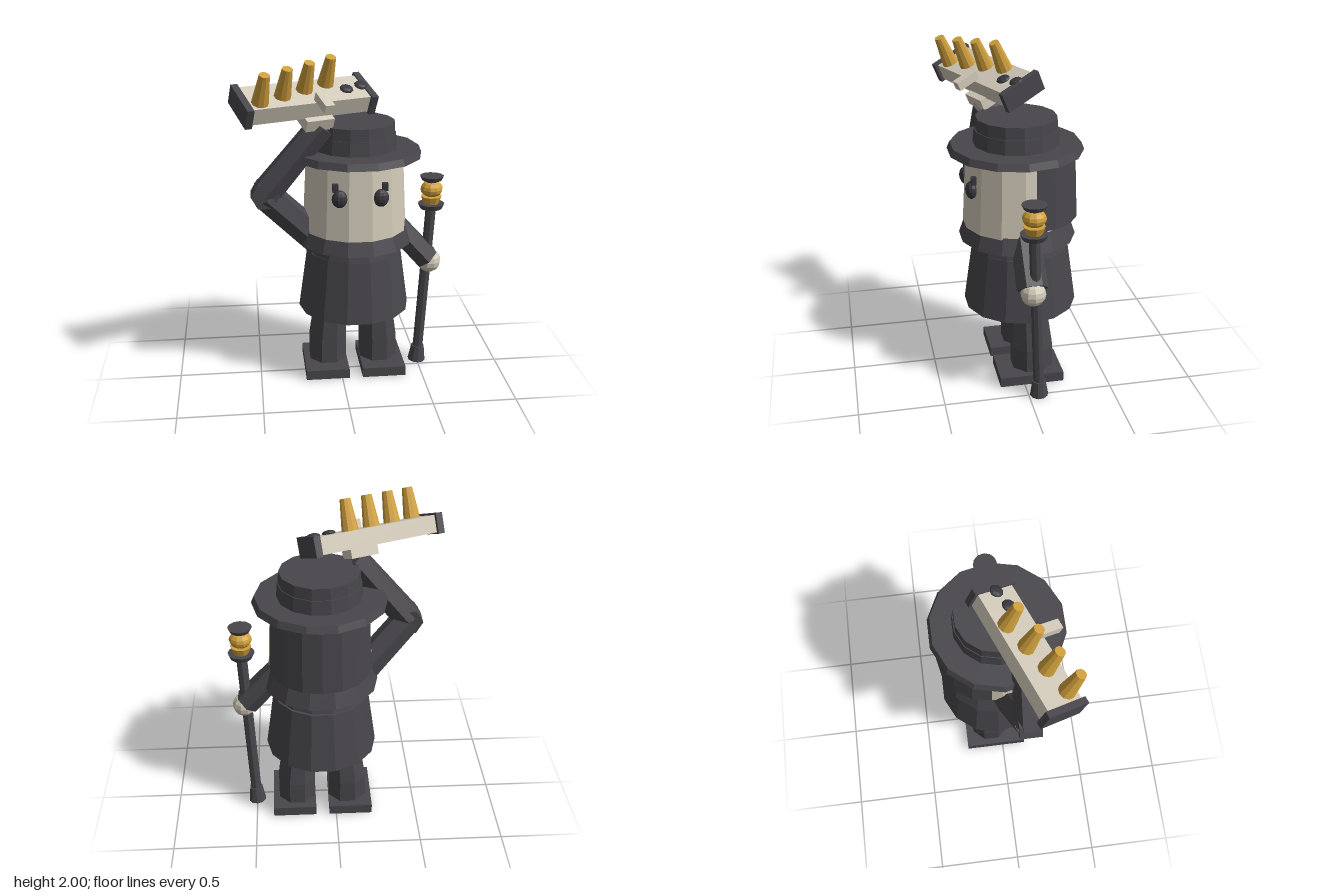
import * as THREE from 'three';

const mat = (name, color) => {
  const m = new THREE.MeshStandardMaterial({ color, flatShading: true });
  m.name = name;
  return m;
};

export function createModel() {
  const model = new THREE.Group();
  const charcoal = mat('charcoal cloth', 0x48464b);
  const black = mat('dark grey', 0x38373d);
  const cream = mat('cream', 0xd3cbba);
  const gold = mat('gold', 0xd0a03c);
  const CX = 0.085; // body axis

  const add = (name, geo, material, x = 0, y = 0, z = 0, parent = model) => {
    const m = new THREE.Mesh(geo, material);
    m.name = name;
    m.position.set(x, y, z);
    parent.add(m);
    return m;
  };
  const box = (w, h, d) => new THREE.BoxGeometry(w, h, d);
  // Upright tapered drum from y0 to y1, with a corner on the x axis
  const drum = (name, material, r0, r1, y0, y1, x = CX, z = 0, sides = 14) =>
    add(name, new THREE.CylinderGeometry(r1, r0, y1 - y0, sides, 1, false, Math.PI / 2), material, x, (y0 + y1) / 2, z);
  // Tapered rod between two points
  const rod = (name, material, a, b, ra, rb, sides, turn = 0) => {
    const p = new THREE.Vector3(...a), q = new THREE.Vector3(...b);
    const dir = q.clone().sub(p);
    const m = add(name, new THREE.CylinderGeometry(rb, ra, dir.length(), sides, 1, false, turn), material);
    m.position.copy(p).add(q).multiplyScalar(0.5);
    m.quaternion.setFromUnitVectors(new THREE.Vector3(0, 1, 0), dir.normalize());
    return m;
  };

  // Head, hair, collar and coat
  drum('head', cream, 0.31, 0.287, 0.96, 1.415);
  const hair = new THREE.CylinderGeometry(0.285, 0.302, 0.38, 8, 1, false, Math.PI / 2, Math.PI);
  add('hair', hair, charcoal, CX, 1.19, -0.065);
  drum('collar', charcoal, 0.345, 0.307, 0.875, 0.985, CX, -0.01);
  drum('upperCoat', charcoal, 0.278, 0.26, 0.805, 0.89, CX, -0.02);
  drum('coatSkirt', charcoal, 0.337, 0.285, 0.437, 0.81, CX, -0.028);

  // Hat
  drum('hatBrim', charcoal, 0.395, 0.378, 1.405, 1.445);
  drum('hatBand', charcoal, 0.25, 0.243, 1.44, 1.53, CX, -0.005);
  drum('hatCrown', charcoal, 0.238, 0.234, 1.53, 1.6, CX, -0.005);

  // Eyes, lashes, legs and shoes, mirrored about the body axis
  for (const s of [-1, 1]) {
    const eye = add('eye', new THREE.SphereGeometry(1, 10, 8), black, CX + s * 0.118, 1.215, 0.277);
    eye.scale.set(0.046, 0.052, 0.035);
    add('eyelash', box(0.032, 0.045, 0.03), black, CX + s * 0.142, 1.278, 0.267);

    const profile = [[0, 0.05], [0.122, 0.05], [0.122, 0.2], [0.1, 0.47], [0, 0.47]];
    const leg = new THREE.LatheGeometry(profile.map(([r, y]) => new THREE.Vector2(r, y)), 8);
    leg.rotateY(Math.PI / 8);
    // The legs lean inwards and forwards towards the top
    const p = leg.attributes.position;
    for (let i = 0; i < p.count; i++) {
      const t = Math.max(0, p.getY(i) - 0.2) / 0.27;
      p.setX(i, p.getX(i) - s * 0.018 * t);
      p.setZ(i, p.getZ(i) * 1.06 + 0.015 * t);
    }
    add('leg', leg, charcoal, CX + s * 0.158, 0, -0.07);
    add('shoe', box(0.267, 0.06, 0.385), charcoal, CX + s * 0.175, 0.03, -0.045);
  }

  // Raised right arm, bent at the elbow
  const quarter = Math.PI / 4;
  const elbow = [-0.45, 1.21, 0.12];
  rod('rightUpperArm', charcoal, [-0.1, 0.84, 0.0], elbow, 0.095, 0.09, 6);
  rod('rightForearm', charcoal, elbow, [-0.12, 1.61, 0.13], 0.09, 0.08, 6);
  const joint = add('rightElbow', new THREE.CylinderGeometry(0.082, 0.082, 0.13, 6), charcoal, ...elbow);
  joint.rotation.set(Math.PI / 2, Math.PI / 6, 0);

  // Lowered left arm and hand
  const arm = rod('leftArm', charcoal, [0.32, 0.965, -0.01], [0.535, 0.725, -0.01], 0.075, 0.08, 6);
  arm.scale.z = 1.15;
  add('leftHand', new THREE.SphereGeometry(0.073, 10, 8), cream, 0.55, 0.705, -0.01);

  // Cane
  rod('caneFerrule', charcoal, [0.5, 0, -0.062], [0.506, 0.1, -0.058], 0.055, 0.04, 10);
  rod('caneShaft', charcoal, [0.505, 0.08, -0.058], [0.553, 1.06, -0.012], 0.032, 0.032, 8);
  const caneX = 0.553, caneZ = -0.011;
  drum('caneCollar', charcoal, 0.066, 0.08, 1.045, 1.076, caneX, caneZ, 12);
  drum('caneCup', gold, 0.046, 0.063, 1.076, 1.122, caneX, caneZ, 10);
  const knob = add('caneKnob', new THREE.SphereGeometry(0.068, 10, 8), gold, caneX, 1.167, caneZ);
  knob.scale.y = 0.75;
  drum('caneCapNeck', charcoal, 0.03, 0.04, 1.2, 1.228, caneX, caneZ, 10);
  drum('caneCap', charcoal, 0.058, 0.072, 1.222, 1.248, caneX, caneZ, 12);

  // Board held overhead, turned and rolled towards the front
  const board = new THREE.Group();
  board.name = 'board';
  board.position.set(-0.215, 1.755, 0.115);
  board.rotation.set(0.41, 0.382, 0, 'YXZ');
  model.add(board);
  add('boardBody', box(0.74, 0.1, 0.22), cream, 0, 0, 0, board);
  for (const s of [-1, 1]) add('boardEnd', box(0.04, 0.118, 0.258), charcoal, s * 0.38, 0, 0, board);
  for (let i = 0; i < 4; i++) {
    const peg = new THREE.CylinderGeometry(0.03, 0.05, 0.19, 10);
    add('peg', peg, gold, -0.298 + 0.149 * i, 0.133, 0.053 - 0.037 * i, board);
  }
  for (const [x, z] of [[0.247, 0.018], [0.35, -0.002]]) {
    const button = add('button', new THREE.SphereGeometry(0.04, 10, 6), black, x, 0.056, z, board);
    button.scale.y = 0.4;
  }
  // Right hand gripping the board
  add('rightPalm', box(0.17, 0.07, 0.13), cream, 0.046, -0.078, 0.085, board);
  add('rightThumb', box(0.058, 0.05, 0.135), cream, 0.045, 0.075, 0.145, board);

  return model;
}
